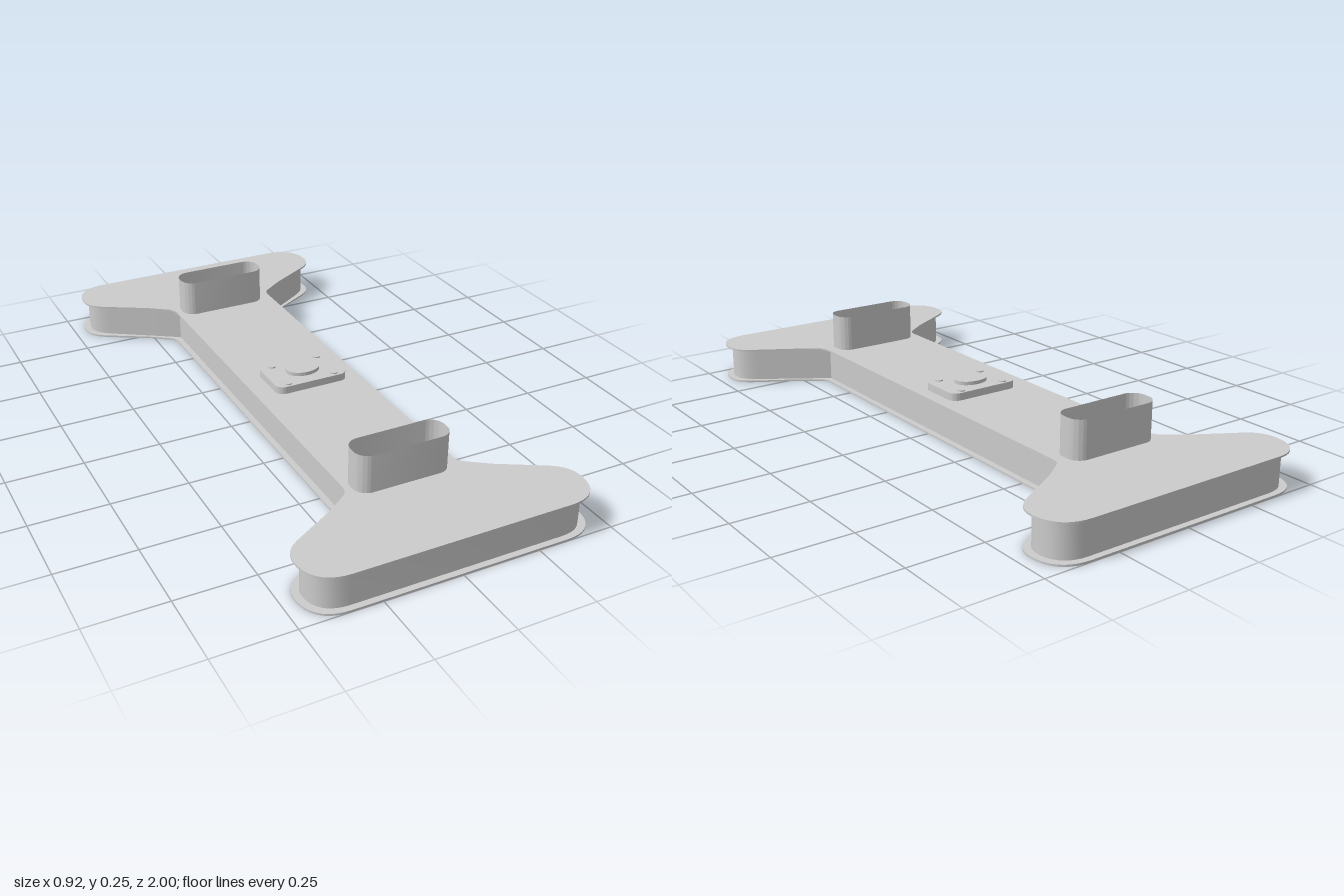
import * as THREE from 'three';
import { toCreasedNormals } from 'three/addons/utils/BufferGeometryUtils.js';

const material = new THREE.MeshStandardMaterial({ color: 0xcccccc });
const openMaterial = new THREE.MeshStandardMaterial({ color: 0xcccccc, side: THREE.DoubleSide });

function addMesh(parent, name, geometry, mat = material) {
  const mesh = new THREE.Mesh(geometry, mat);
  mesh.name = name;
  parent.add(mesh);
  return mesh;
}

// Horizontal slab of a plan shape, from height y0 to y1
function slab(shape, y0, y1) {
  const g = new THREE.ExtrudeGeometry(shape, { depth: y1 - y0, bevelEnabled: false, curveSegments: 10 });
  g.rotateX(-Math.PI / 2).translate(0, y0, 0);
  return toCreasedNormals(g, 0.5);
}

// Mirror one quarter outline into the full dumbbell plan
function mirrored(quarter) {
  const q = quarter.getPoints(10);
  const flip = (sx, sy) => q.map(p => new THREE.Vector2(p.x * sx, p.y * sy));
  return new THREE.Shape([
    ...flip(1, 1), ...flip(-1, 1).reverse(), ...flip(-1, -1), ...flip(1, -1).reverse(),
  ]);
}

function roundedRect(w, h, r) {
  const s = new THREE.Shape();
  const x = w / 2 - r, y = h / 2 - r;
  s.absarc(x, y, r, 0, Math.PI / 2);
  s.absarc(-x, y, r, Math.PI / 2, Math.PI);
  s.absarc(-x, -y, r, Math.PI, Math.PI * 1.5);
  s.absarc(x, -y, r, Math.PI * 1.5, Math.PI * 2);
  s.closePath();
  return s;
}

// Open upright tube: a plan outline swept from y0 to y1
function wall(shape, y0, y1) {
  const pts = shape.getPoints(10);
  const pos = [];
  pts.forEach((a, i) => {
    const b = pts[(i + 1) % pts.length];
    if (a.distanceTo(b) < 1e-6) return;
    const A = [a.x, y0, -a.y], B = [b.x, y0, -b.y], C = [b.x, y1, -b.y], D = [a.x, y1, -a.y];
    pos.push(...A, ...B, ...C, ...A, ...C, ...D);
  });
  const g = new THREE.BufferGeometry();
  g.setAttribute('position', new THREE.Float32BufferAttribute(pos, 3));
  return toCreasedNormals(g, 0.5);
}

export function createModel() {
  const model = new THREE.Group();
  model.name = 'beamBase';

  // Thin flanges with a wide rounded foot at each end
  const flange = new THREE.Path();
  flange.moveTo(0.183, 0.64);
  flange.quadraticCurveTo(0.184, 0.665, 0.2, 0.677);
  flange.lineTo(0.265, 0.725);
  flange.lineTo(0.4, 0.803);
  flange.bezierCurveTo(0.44, 0.825, 0.46, 0.85, 0.46, 0.89);
  flange.bezierCurveTo(0.46, 0.955, 0.425, 1, 0.345, 1);
  const flangeShape = mirrored(flange);
  addMesh(model, 'bottomFlange', slab(flangeShape, 0, 0.006));
  addMesh(model, 'topFlange', slab(flangeShape, 0.118, 0.124));

  // Body between the flanges, set in from their edges
  const body = new THREE.Path();
  body.moveTo(0.163, 0.67);
  body.lineTo(0.385, 0.815);
  body.bezierCurveTo(0.42, 0.838, 0.437, 0.86, 0.437, 0.89);
  body.bezierCurveTo(0.437, 0.945, 0.405, 0.98, 0.34, 0.98);
  addMesh(model, 'body', slab(mirrored(body), 0.006, 0.118));

  // Open sockets near both ends
  for (const [name, z] of [['frontSocket', 0.65], ['backSocket', -0.65]]) {
    addMesh(model, name, wall(roundedRect(0.308, 0.102, 0.043), 0.124, 0.247), openMaterial)
      .position.set(-0.007, 0, z);
  }

  // Central mounting plate with an oval boss and four bolts
  const mount = new THREE.Group();
  mount.name = 'mount';
  mount.position.x = 0.01;
  model.add(mount);
  addMesh(mount, 'mountPlate', slab(roundedRect(0.255, 0.167, 0.03), 0.124, 0.149));
  const boss = addMesh(mount, 'ovalBoss', new THREE.CylinderGeometry(1, 1, 0.012, 40));
  boss.scale.set(0.058, 1, 0.042);
  boss.position.y = 0.155;
  for (const x of [-0.083, 0.083]) for (const z of [-0.063, 0.063]) {
    addMesh(mount, 'bolt', new THREE.CylinderGeometry(0.013, 0.013, 0.005, 20))
      .position.set(x, 0.1505, z);
  }
  return model;
}
